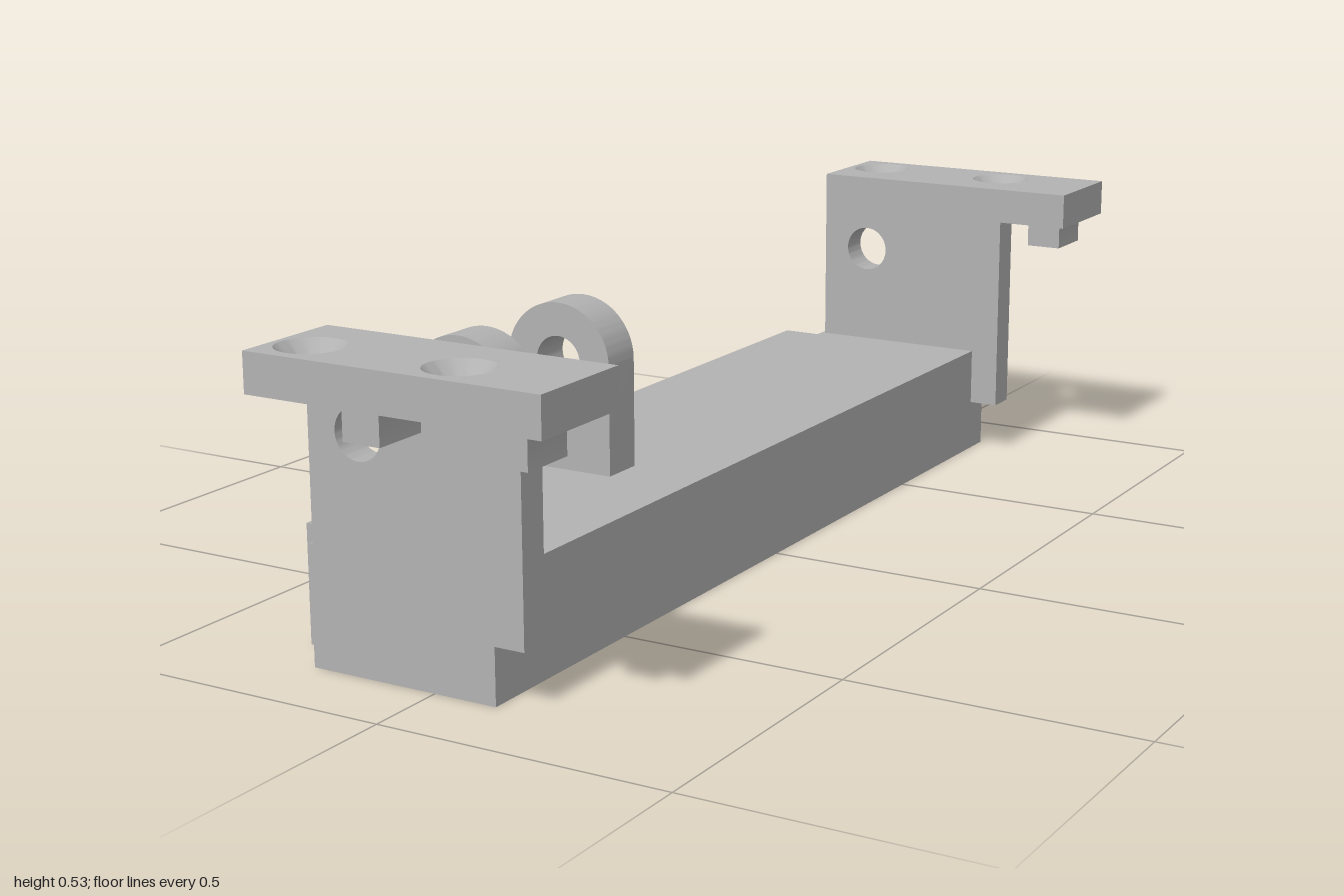
import * as THREE from 'three';
import { toCreasedNormals } from 'three/addons/utils/BufferGeometryUtils.js';

const grey = new THREE.MeshStandardMaterial({ color: 0xb2b2b2 });
grey.name = 'grey';

const polygon = (points) => new THREE.Shape(points.map(([x, y]) => new THREE.Vector2(x, y)));

function addHole(shape, x, y, r) {
  const hole = new THREE.Path();
  hole.absarc(x, y, r, 0, Math.PI * 2, true);
  shape.holes.push(hole);
}

function addMesh(parent, name, geometry) {
  const mesh = new THREE.Mesh(toCreasedNormals(geometry, 0.6), grey);
  mesh.name = name;
  parent.add(mesh);
  return mesh;
}

// Profile in x, y extruded from z0 to z1
function extrudeZ(shape, z0, z1) {
  const g = new THREE.ExtrudeGeometry(shape, { depth: z1 - z0, bevelEnabled: false, curveSegments: 24 });
  return g.translate(0, 0, z0);
}

// Footprint in x, -z extruded from y0 to y1
function extrudeY(shape, y0, y1) {
  const g = new THREE.ExtrudeGeometry(shape, { depth: y1 - y0, bevelEnabled: false, curveSegments: 24 });
  return g.rotateX(-Math.PI / 2).translate(0, y0, 0);
}

const PIN = { x: -0.127, y: 0.385, r: 0.0425 };
const FLANGE = { y0: 0.465, y1: 0.53 };
const SCREW_X = [-0.155, 0.11];

function endBracket(name, side) {
  const group = new THREE.Group();
  group.name = name;
  const span = (a, b) => (side > 0 ? [a, b] : [-b, -a]);

  // Upright wall with its overhanging step and pin hole
  const wall = polygon([[-0.22, 0.2], [0.11, 0.2], [0.11, 0.095], [0.165, 0.095], [0.165, 0.465], [-0.22, 0.465]]);
  addHole(wall, PIN.x, PIN.y, PIN.r);
  addMesh(group, 'endWall', extrudeZ(wall, ...span(0.805, 0.86)));

  // Mounting flange
  const [z0, z1] = span(0.805, 1);
  const plate = polygon([[-0.22, -z1], [0.297, -z1], [0.297, -z0], [-0.22, -z0]]);
  for (const x of SCREW_X) addHole(plate, x, -side * 0.925, 0.055);
  addMesh(group, 'mountingFlange', extrudeY(plate, FLANGE.y0, FLANGE.y1));

  // Countersunk linings of the screw holes
  const lining = [[0.055, 0.065], [0.03, 0.037], [0.03, 0], [0.055, 0]].map(([r, y]) => new THREE.Vector2(r, y));
  for (const x of SCREW_X) {
    addMesh(group, 'countersunkHole', new THREE.LatheGeometry(lining, 48)).position.set(x, FLANGE.y0, side * 0.925);
  }

  // Locating tabs with small fillets where they meet the flange
  for (const x of [-0.0275, 0.2255]) {
    const tab = new THREE.Shape();
    tab.moveTo(x - 0.033, 0.41);
    tab.lineTo(x + 0.033, 0.41);
    tab.lineTo(x + 0.033, 0.457);
    tab.quadraticCurveTo(x + 0.034, 0.464, x + 0.041, 0.465);
    tab.lineTo(x - 0.041, 0.465);
    tab.quadraticCurveTo(x - 0.034, 0.464, x - 0.033, 0.457);
    addMesh(group, 'locatingTab', extrudeZ(tab, ...span(0.88, 0.978)));
  }
  return group;
}

export function createModel() {
  const model = new THREE.Group();
  model.name = 'hingeBracket';

  // Long base bar, notched at both ends on one side
  const base = polygon([
    [-0.298, -0.778], [-0.227, -0.778], [-0.227, -0.858], [0.111, -0.858],
    [0.111, 0.858], [-0.227, 0.858], [-0.227, 0.785], [-0.298, 0.785],
  ]);
  addMesh(model, 'baseBar', extrudeY(base, 0, 0.2));

  model.add(endBracket('frontBracket', 1), endBracket('backBracket', -1));

  // Round-topped hinge lugs
  for (const [z0, z1] of [[0.245, 0.322], [0.525, 0.602]]) {
    const lug = new THREE.Shape();
    lug.moveTo(PIN.x - 0.099, 0.2);
    lug.lineTo(PIN.x + 0.099, 0.2);
    lug.absarc(PIN.x, PIN.y, 0.099, 0, Math.PI, false);
    addHole(lug, PIN.x, PIN.y, PIN.r);
    addMesh(model, 'hingeLug', extrudeZ(lug, z0, z1));
  }
  return model;
}
